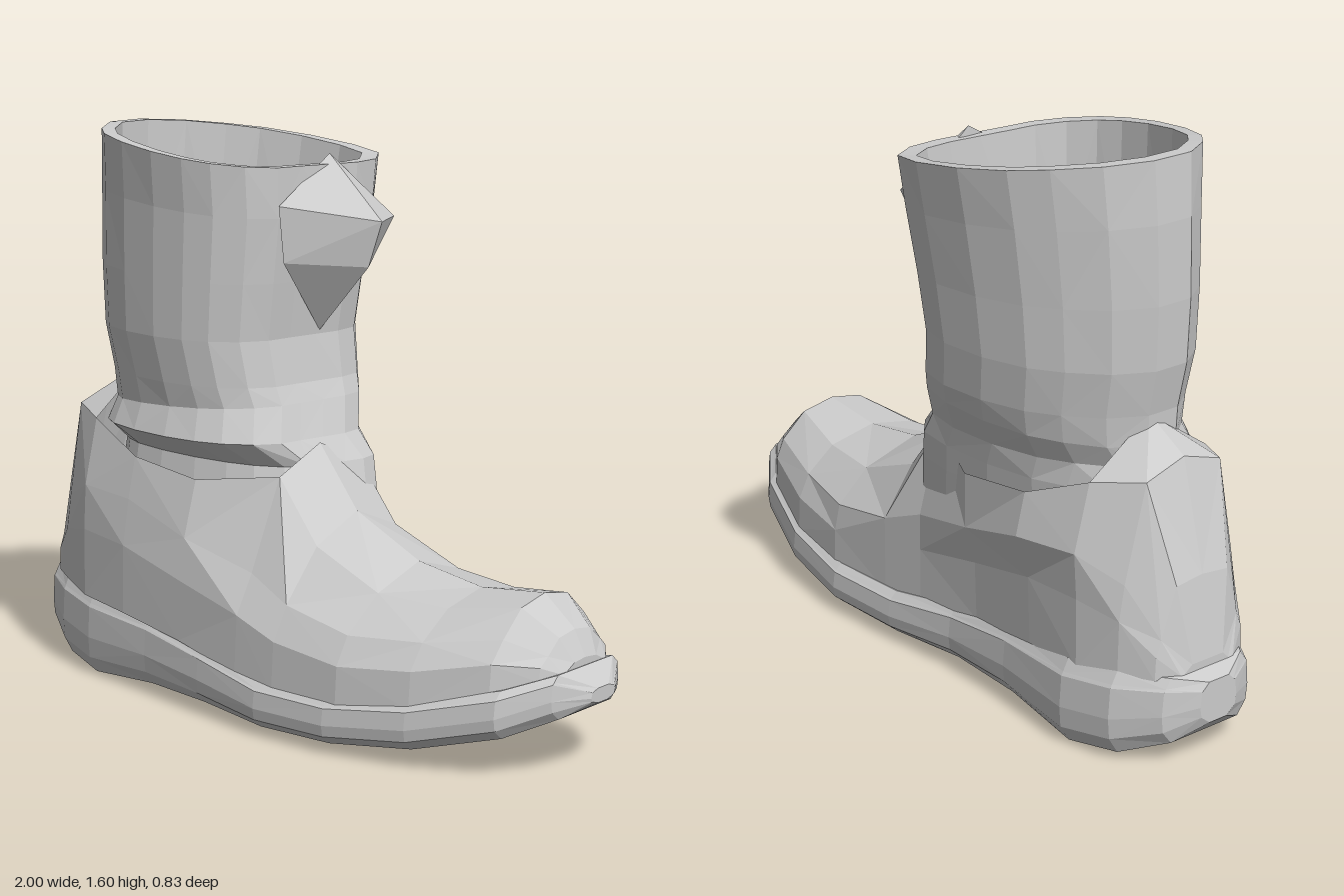
import * as THREE from 'three';
import { ConvexGeometry } from 'three/addons/geometries/ConvexGeometry.js';

const material = new THREE.MeshStandardMaterial({
  color: 0xcccccc, flatShading: true, side: THREE.DoubleSide,
});

// Skins a run of cross-sections (arrays of [x, y, z]) with flat facets.
function loft(sections, { closed = false, caps = false, skip = () => false } = {}) {
  const pos = [];
  const tri = (a, b, c) => pos.push(...a, ...b, ...c);
  const n = sections[0].length;
  for (let i = 0; i < sections.length - 1; i++) {
    for (let j = 0; j < (closed ? n : n - 1); j++) {
      if (skip(i, j)) continue;
      const k = (j + 1) % n;
      const [a, b, c, d] = [sections[i][j], sections[i][k], sections[i + 1][k], sections[i + 1][j]];
      if ((i + j) % 2) { tri(a, b, c); tri(a, c, d); }
      else { tri(a, b, d); tri(b, c, d); }
    }
  }
  if (caps) {
    const first = sections[0], last = sections[sections.length - 1];
    for (let j = 1; j < n - 1; j++) {
      tri(first[0], first[j + 1], first[j]);
      tri(last[0], last[j], last[j + 1]);
    }
  }
  const geometry = new THREE.BufferGeometry();
  geometry.setAttribute('position', new THREE.Float32BufferAttribute(pos, 3));
  geometry.computeVertexNormals();
  return geometry;
}

function addPart(group, name, geometry) {
  const mesh = new THREE.Mesh(geometry, material);
  mesh.name = name;
  group.add(mesh);
}

// Sole stations: x, right edge z, left edge z, bottom y, top y
const soleStations = [
  [-1, -0.11, 0.02, 0.12, 0.24],
  [-0.95, -0.2, 0.11, 0.07, 0.26],
  [-0.83, -0.28, 0.19, 0.02, 0.26],
  [-0.67, -0.31, 0.25, 0, 0.245],
  [-0.4, -0.28, 0.3, 0.025, 0.225],
  [-0.15, -0.27, 0.355, 0.03, 0.19],
  [0.1, -0.29, 0.405, 0.02, 0.15],
  [0.35, -0.3, 0.415, 0.025, 0.15],
  [0.6, -0.26, 0.38, 0.05, 0.18],
  [0.84, -0.18, 0.31, 0.11, 0.24],
  [0.95, -0.1, 0.21, 0.16, 0.28],
  [1, -0.01, 0.1, 0.19, 0.23],
];

function soleSection([x, zr, zl, yb, yt]) {
  // Half profile as [inset, y], with a narrow welt along the top
  const h = yt - yb;
  const half = [
    [0.035, yb], [0.005, yb + h * 0.2], [0, yb + h * 0.45],
    [0.006, yt - h * 0.18], [0.012, yt - h * 0.14], [0.03, yt],
  ];
  return [
    ...half.map(([d, y]) => [x, y, zr + d]),
    ...half.slice().reverse().map(([d, y]) => [x, y, zl - d]),
  ];
}

// Foot stations: x, crown y, then [y, right z, left z] at base, middle, shoulder
const heelStations = [
  [-0.955, 0.28, [0.25, -0.14, 0.05], [0.26, -0.12, 0.03], [0.28, -0.1, 0.01]],
  [-0.92, 0.51, [0.25, -0.2, 0.11], [0.36, -0.18, 0.09], [0.5, -0.13, 0.05]],
  [-0.83, 0.81, [0.25, -0.25, 0.17], [0.5, -0.23, 0.15], [0.77, -0.16, 0.1]],
  [-0.7, 0.89, [0.23, -0.28, 0.23], [0.56, -0.29, 0.22], [0.75, -0.24, 0.17]],
  [-0.5, 0.76, [0.22, -0.27, 0.28], [0.55, -0.32, 0.25], [0.67, -0.29, 0.22]],
  [-0.25, 0.7, [0.19, -0.25, 0.32], [0.48, -0.29, 0.29], [0.64, -0.29, 0.24]],
];
const toeStations = [
  [0, 0.74, [0.15, -0.25, 0.365], [0.42, -0.25, 0.29], [0.67, -0.18, 0.17]],
  [0.15, 0.57, [0.13, -0.26, 0.385], [0.36, -0.26, 0.32], [0.5, -0.16, 0.19]],
  [0.38, 0.465, [0.13, -0.27, 0.395], [0.32, -0.25, 0.34], [0.41, -0.15, 0.21]],
  [0.6, 0.43, [0.16, -0.24, 0.36], [0.33, -0.2, 0.3], [0.4, -0.11, 0.19]],
  [0.81, 0.45, [0.22, -0.17, 0.29], [0.36, -0.14, 0.23], [0.43, -0.06, 0.15]],
  [0.91, 0.37, [0.26, -0.1, 0.21], [0.32, -0.07, 0.17], [0.36, -0.02, 0.12]],
  [0.945, 0.3, [0.26, -0.05, 0.15], [0.28, -0.03, 0.13], [0.295, 0, 0.1]],
];

function footSection([x, crown, base, mid, shoulder]) {
  // The wall stands almost upright from the base up to a crease
  const crease = [
    base[0] + (mid[0] - base[0]) * 0.6,
    base[1] + (mid[1] - base[1]) * 0.15,
    base[2] + (mid[2] - base[2]) * 0.15,
  ];
  const levels = [base, crease, mid, shoulder];
  return [
    ...levels.map(([y, r]) => [x, y, r]),
    [x, crown, (shoulder[1] + shoulder[2]) / 2],
    ...levels.slice().reverse().map(([y, , l]) => [x, y, l]),
  ];
}

// Skewed plan of the shaft, normalised to -1..1 on both axes
const plan = new THREE.CatmullRomCurve3([
  [-0.05, 0], [-0.03, -0.14], [-0.02, -0.27], [-0.09, -0.39], [-0.25, -0.42], [-0.47, -0.38],
  [-0.6, -0.3], [-0.72, -0.17], [-0.765, 0], [-0.69, 0.14], [-0.6, 0.21], [-0.42, 0.26],
  [-0.27, 0.26], [-0.16, 0.22], [-0.07, 0.12],
].map(([x, z]) => new THREE.Vector3((x + 0.39) / 0.37, 0, (z + 0.08) / 0.34)), true)
  .getPoints(20).slice(0, -1);

// Shaft rings: y, back x, front x, right z, left z, backward rise
const shaftRings = [
  [0.45, -0.71, 0.1, -0.24, 0.21, 0],
  [0.6, -0.73, 0.07, -0.26, 0.17, 0],
  [0.68, -0.73, 0.05, -0.27, 0.15, 0],
  [0.75, -0.74, 0, -0.28, 0.245, 0],
  [0.83, -0.73, -0.03, -0.32, 0.21, -0.02],
  [0.9, -0.735, -0.05, -0.34, 0.22, 0],
  [1.03, -0.76, -0.07, -0.355, 0.235, 0],
  [1.2, -0.77, -0.05, -0.37, 0.24, 0.01],
  [1.4, -0.77, -0.03, -0.395, 0.245, 0.03],
  [1.555, -0.76, -0.03, -0.42, 0.26, 0.045],
  // Rim and lining
  [1.555, -0.72, -0.07, -0.38, 0.225, 0.045],
  [1.2, -0.73, -0.09, -0.335, 0.205, 0.01],
  [0.9, -0.7, -0.09, -0.31, 0.185, 0],
  [0.68, -0.69, 0, -0.235, 0.12, 0],
  [0.45, -0.68, 0.06, -0.21, 0.18, 0],
];

function shaftRing([y, xb, xf, zr, zl, rise]) {
  return plan.map((p) => [
    (xb + xf) / 2 + p.x * (xf - xb) / 2,
    y - p.x * rise,
    (zr + zl) / 2 + p.z * (zl - zr) / 2,
  ]);
}

export function createModel() {
  const boot = new THREE.Group();
  boot.name = 'boot';

  addPart(boot, 'sole', loft(soleStations.map(soleSection), { closed: true, caps: true }));

  // The crown is left open under the shaft
  const foot = [...heelStations, ...toeStations].map(footSection);
  addPart(boot, 'foot', loft(foot, {
    caps: true, skip: (i, j) => i >= 3 && i <= 5 && (j === 3 || j === 4),
  }));

  addPart(boot, 'shaft', loft(shaftRings.map(shaftRing), { closed: true }));

  // Folded leather bulge at the front of the shaft
  const fold = [
    [-0.06, 1.54, -0.12], [-0.05, 1.4, -0.27], [-0.06, 1.41, 0.1], [-0.08, 1.04, -0.1],
    [0.12, 1.36, -0.13], [0.06, 1.36, -0.26], [0.08, 1.23, -0.12], [-0.05, 1.2, -0.25],
    [-0.06, 1.25, 0.08],
  ];
  addPart(boot, 'frontFold', new ConvexGeometry(fold.map((p) => new THREE.Vector3(...p))));

  return boot;
}
